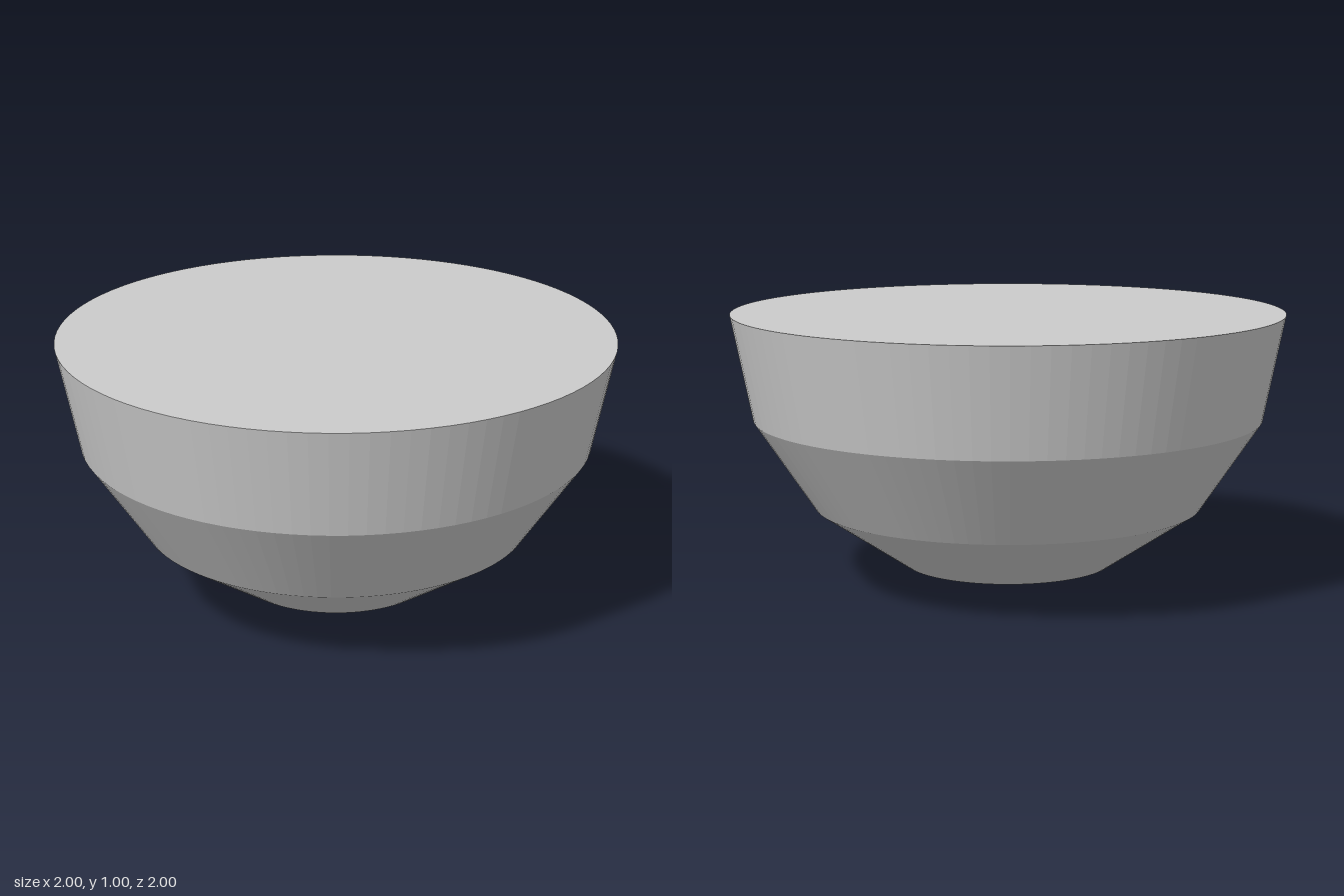
import * as THREE from 'three';

const SEGMENTS = 96;

export function createModel() {
  const group = new THREE.Group();
  group.name = 'solidHemisphere';
  const material = new THREE.MeshStandardMaterial({ color: 0xcccccc, flatShading: true });

  // Lower half of a sphere, cut into four conical bands
  const dome = new THREE.Mesh(
    new THREE.SphereGeometry(1, SEGMENTS, 4, 0, Math.PI * 2, Math.PI / 2, Math.PI / 2),
    material
  );
  dome.name = 'facetedDome';
  dome.position.y = 1;

  // Flat disc closing the top
  const lid = new THREE.Mesh(new THREE.CircleGeometry(1, SEGMENTS), material);
  lid.name = 'flatTop';
  lid.rotation.x = -Math.PI / 2;
  lid.position.y = 1;

  group.add(dome, lid);
  return group;
}
